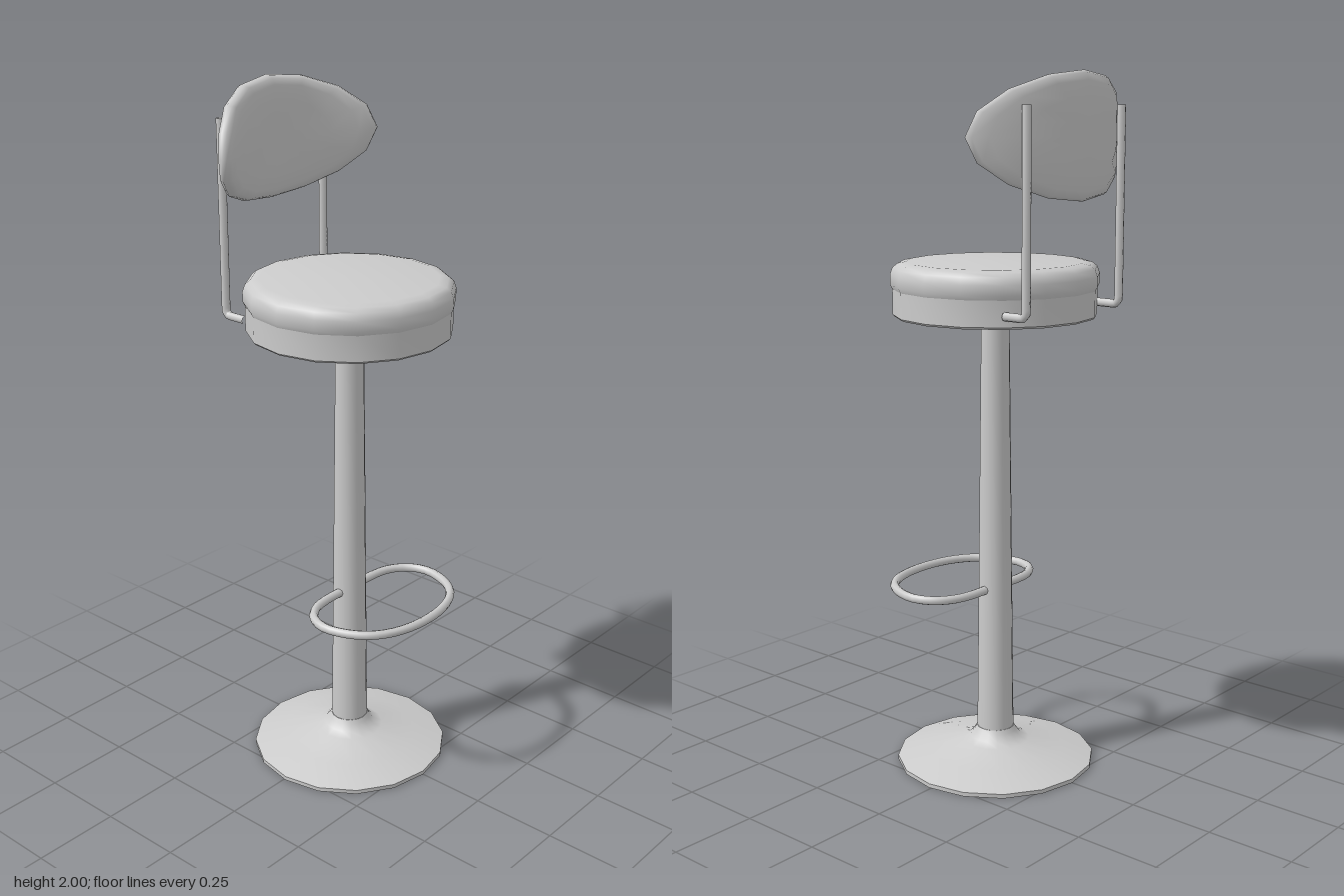
import * as THREE from 'three';
import { mergeVertices, toCreasedNormals } from 'three/addons/utils/BufferGeometryUtils.js';

const SIDES = 16;
const AXIS_X = 0.006; // the column stands slightly off centre because of the backrest

export function createModel() {
  const group = new THREE.Group();
  const material = new THREE.MeshStandardMaterial({ color: 0xcccccc });
  const v2 = (pts) => pts.map(([x, y]) => new THREE.Vector2(x, y));

  const add = (name, geometry, x = 0) => {
    const mesh = new THREE.Mesh(geometry, material);
    mesh.name = name;
    mesh.position.x = x;
    group.add(mesh);
    return mesh;
  };
  const turned = (name, pts) =>
    add(name, toCreasedNormals(new THREE.LatheGeometry(v2(pts), SIDES), 0.7), AXIS_X);

  // Floor plate, flared into the tapered column
  turned('base', [[0, 0], [0.291, 0], [0.291, 0.012], [0.2, 0.038], [0.1, 0.062],
    [0.075, 0.073], [0.062, 0.09], [0.055, 0.102], [0, 0.102]]);
  turned('column', [[0, 0.08], [0.054, 0.08], [0.04, 1.34], [0, 1.34]]);

  // Seat pan and padded cushion
  turned('seatPan', [[0, 1.33], [0.283, 1.33], [0.289, 1.336], [0.289, 1.408], [0, 1.408]]);
  turned('seatCushion', [[0, 1.406], [0.288, 1.406], [0.295, 1.42], [0.295, 1.448],
    [0.288, 1.468], [0.274, 1.479], [0.25, 1.484], [0, 1.485]]);

  // D-shaped footrest whose straight bar passes through the column
  const half = [[0.302, 0], [0.294, 0.077], [0.272, 0.138], [0.235, 0.187], [0.175, 0.222],
    [0.11, 0.234], [0.055, 0.212], [0.02, 0.165], [0.008, 0.11]];
  const loop = [...half, [0.008, 0], ...half.slice(1).reverse().map(([x, z]) => [x, -z])];
  const ring = new THREE.CatmullRomCurve3(
    loop.map(([x, z]) => new THREE.Vector3(x, 0.53, z)), true);
  add('footrest', new THREE.TubeGeometry(ring, 48, 0.013, 8, true));

  // Bent rods that carry the backrest
  for (const side of [-1, 1]) {
    const z = side * 0.203;
    const p = (x, y) => new THREE.Vector3(x, y, z);
    const path = new THREE.CurvePath();
    path.add(new THREE.LineCurve3(p(-0.273, 1.91), p(-0.273, 1.385)));
    path.add(new THREE.QuadraticBezierCurve3(p(-0.273, 1.385), p(-0.273, 1.366), p(-0.255, 1.366)));
    path.add(new THREE.LineCurve3(p(-0.255, 1.366), p(-0.2, 1.366)));
    const rod = new THREE.Group();
    rod.name = side < 0 ? 'rearSupportRod' : 'frontSupportRod';
    const tube = new THREE.Mesh(new THREE.TubeGeometry(path, 48, 0.012, 8), material);
    tube.name = 'rodTube';
    const cap = new THREE.Mesh(new THREE.CylinderGeometry(0.012, 0.012, 0.004, 8), material);
    cap.name = 'rodCap';
    cap.position.set(-0.273, 1.909, z);
    rod.add(tube, cap);
    group.add(rod);
  }

  // Backrest: a round pad stretched to an oval and wrapped around the seat
  const pad = new THREE.LatheGeometry(v2([[0, -0.029], [0.3, -0.029], [0.6, -0.028], [0.85, -0.025],
    [0.96, -0.02], [1, -0.01], [0.99, 0.003], [0.95, 0.014], [0.85, 0.022], [0.6, 0.027],
    [0.3, 0.028], [0, 0.028]]), SIDES);
  const pos = pad.attributes.position;
  for (let i = 0; i < pos.count; i++) {
    const t = pos.getY(i);
    const z = pos.getX(i) * 0.306;
    const slope = 2.9 * z;
    const len = Math.hypot(1, slope);
    pos.setXYZ(i, -0.288 + 1.45 * z * z + t / len, 1.83 + pos.getZ(i) * 0.17, z - t * slope / len);
  }
  pad.deleteAttribute('uv');
  pad.deleteAttribute('normal');
  const smoothPad = mergeVertices(pad, 1e-5);
  smoothPad.computeVertexNormals();
  add('backrest', smoothPad);

  return group;
}
